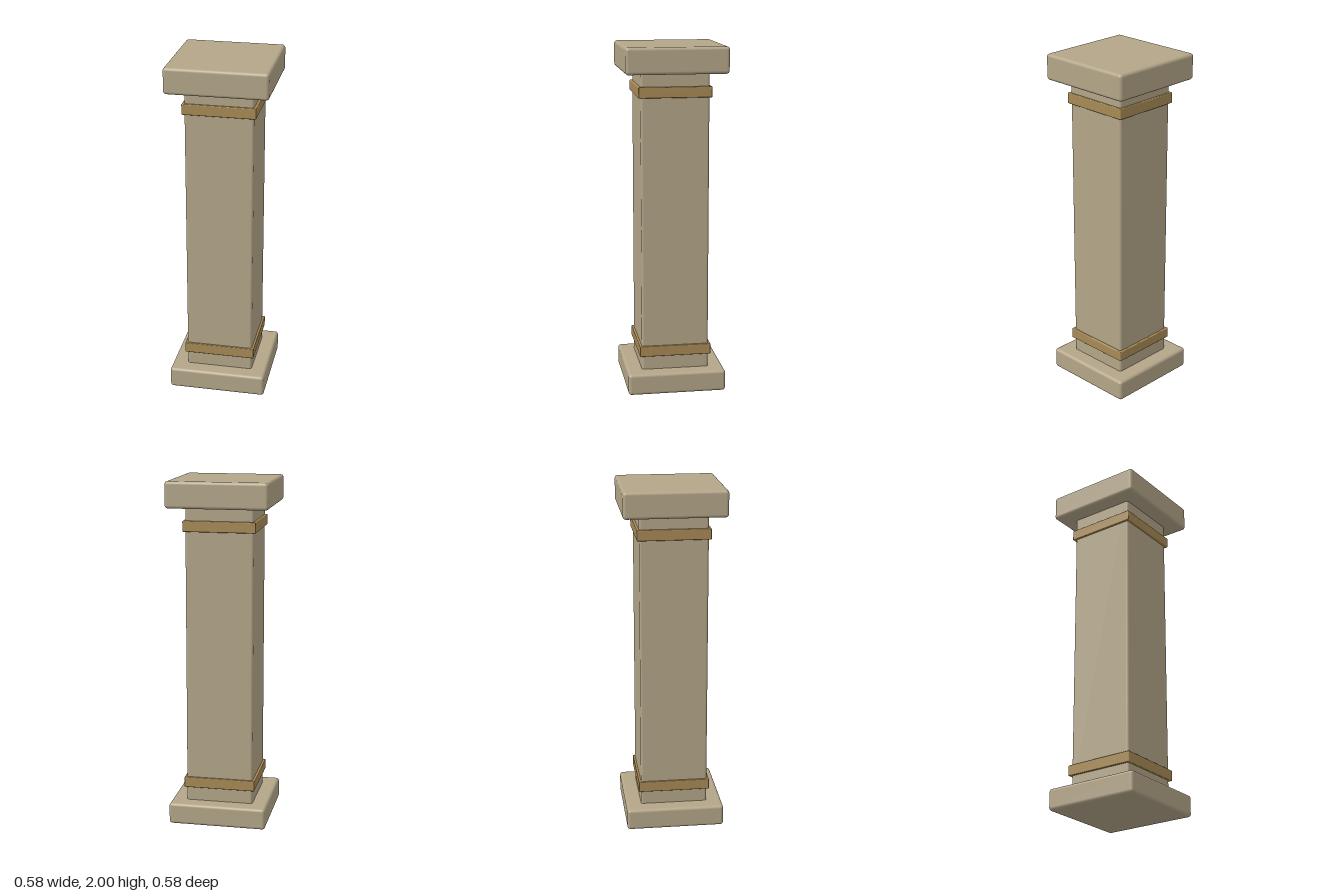
import * as THREE from 'three';
import { RoundedBoxGeometry } from 'three/addons/geometries/RoundedBoxGeometry.js';

export function createModel() {
  const model = new THREE.Group();
  model.name = 'squareColumn';

  const stone = new THREE.MeshStandardMaterial({ color: 0xb3a588 });
  const bronze = new THREE.MeshStandardMaterial({ color: 0xa88a55 });

  // Square block with softened edges, spanning bottom to top
  function addBlock(name, width, bottom, top, radius, material) {
    const geometry = new RoundedBoxGeometry(width, top - bottom, width, 4, radius);
    const mesh = new THREE.Mesh(geometry, material);
    mesh.name = name;
    mesh.position.y = (bottom + top) / 2;
    model.add(mesh);
  }

  // Stone plinth, shaft and capital
  addBlock('base', 0.568, 0, 0.125, 0.018, stone);
  addBlock('shaft', 0.39, 0.1, 1.88, 0.014, stone);
  addBlock('capital', 0.58, 1.85, 2, 0.018, stone);

  // Trim bands around the shaft
  addBlock('lowerBand', 0.416, 0.205, 0.267, 0.005, bronze);
  addBlock('upperBand', 0.416, 1.713, 1.775, 0.005, bronze);

  return model;
}
